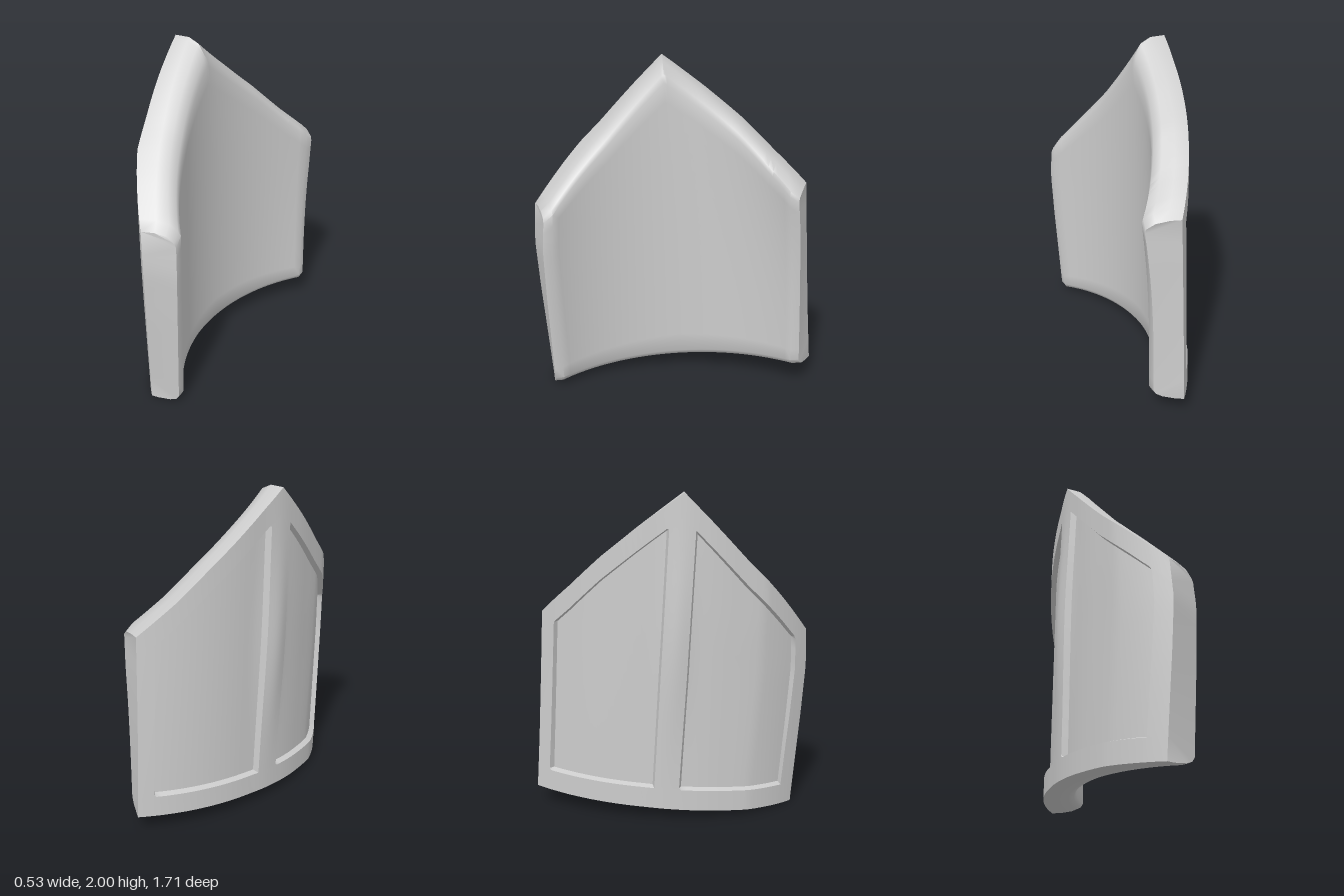
import * as THREE from 'three';
import { toCreasedNormals } from 'three/addons/utils/BufferGeometryUtils.js';

const CENTRE_X = 1.13;   // axis of the curved plate
const OUTER = 1.36, INNER = 1.16, RECESS = 0.035;
const { lerp, clamp, smoothstep } = THREE.MathUtils;

// piecewise linear lookup through [key, value] points
function along(points, k) {
  for (let i = 1; i < points.length; i++) {
    const [k0, v0] = points[i - 1], [k1, v1] = points[i];
    if (k <= k1) return lerp(v0, v1, clamp((k - k0) / (k1 - k0), 0, 1));
  }
  return points[points.length - 1][1];
}

// pointed top edge, slanting bottom edge, the two leaning side edges
// and the swelling of the outside towards the left
const TOP = [[-1, 1.26], [-0.76, 1.44], [-0.53, 1.63], [-0.31, 1.79], [0, 2], [0.46, 1.59], [0.73, 1.37], [1, 1.14]];
const LEFT_END = [[0, 0.615], [0.3, 0.64], [0.6, 0.665], [0.9, 0.685], [1.14, 0.675]];
const RIGHT_END = [[0.1, 0.674], [1.26, 0.63]];
const SWELL = [[-0.15, 0], [0.2, 0.022], [0.42, 0.03], [0.6, 0.045], [0.8, 0.022], [1, 0]];
const top = u => along(TOP, u);
const bottom = u => lerp(0.11, 0, (u + 1) / 2) + 0.012 * (1 - u * u);

// angle of the side edge; the inside of each end reaches a little further round
function endAngle(u, r, y) {
  const depth = clamp((OUTER - r) / (OUTER - INNER), 0, 1);
  const left = along(LEFT_END, y) + depth * lerp(0.08, 0.05, clamp(y / 1.14, 0, 1));
  const right = along(RIGHT_END, y) + depth * lerp(0.025, 0.06, clamp(y / 1.26, 0, 1));
  return lerp(right, left, clamp(u * 2 + 0.5, 0, 1));
}

// u runs from -1 (right end) to 1 (left end); the middle leans towards the peak
function place(u, r, y) {
  const leaning = u + lerp(-0.04, 0.09, y / 2) * (1 - u * u);
  const a = leaning * endAngle(leaning, r, y);
  return new THREE.Vector3(CENTRE_X - r * Math.cos(a), y, r * Math.sin(a));
}

// outer radius: swelling on the left, a central rib proud at mid height, leaning ends
function outerRadius(u, y) {
  const swell = along(SWELL, u) * lerp(0.6, 1, clamp(y / 1.2, 0, 1));
  const rib = 0.03 * Math.exp(-((u / 0.1) ** 2)) * Math.exp(-(((y - 1.1) / 0.55) ** 2));
  const low = 1 - clamp(y / 1.1, 0, 1);
  const ends = u > 0 ? -0.025 * u ** 4 * low : lerp(0.018, -0.034, y / 1.26) * u * u;
  return OUTER + swell + rib + ends;
}

// inner radius: the rims thicken towards the ends, most along the right top edge,
// and the corner to each end face is chamfered
function innerRadius(u, y) {
  const chamfer = 0.035 * smoothstep(Math.abs(u), 0.945, 1);
  if (u > 0) return INNER - 0.02 * u ** 4 + chamfer;
  return INNER - 0.07 * Math.abs(u) ** 1.5 * (y / top(u)) ** 3 + chamfer;
}

// closed cross-section: up the outside, over the rounded top, down the inside
function section(u, sunk) {
  const t = top(u), b = bottom(u), loop = [];
  const low = b + 0.13, high = t - 0.14, steps = 14;
  const round = lerp(0.1, 0.05, Math.abs(u));
  const outer = (y, d) => loop.push(place(u, outerRadius(u, y) - d, y));
  outer(b, 0);
  outer(low, 0);
  for (let i = 0; i <= steps; i++) {
    outer(lerp(low + 0.012, high - 0.012, i / steps), sunk ? RECESS : 0);
  }
  outer(high, 0);
  outer(t, 0);
  const rim = innerRadius(u, t);
  loop.push(place(u, lerp(rim, OUTER, 0.6), t));
  loop.push(place(u, lerp(rim, OUTER, 0.28), t - round * 0.3));
  loop.push(place(u, lerp(rim, OUTER, 0.07), t - round));
  for (let i = steps + 1; i >= 0; i--) {
    const y = lerp(b + 0.05, t - round * 1.5, i / (steps + 1));
    loop.push(place(u, innerRadius(u, y), y));
  }
  const foot = innerRadius(u, b);
  loop.push(place(u, foot + 0.015, b + 0.025));
  loop.push(place(u, foot + 0.05, b + 0.01));
  loop.push(place(u, foot + 0.12, b));
  return loop;
}

function plateGeometry() {
  // columns across the plate, with narrow gaps forming the walls of both panels
  const columns = [];
  const span = (from, to, n, sunk) => {
    for (let i = 0; i <= n; i++) columns.push([lerp(from, to, i / n), sunk]);
  };
  span(-1, -0.89, 2, false);
  span(-0.875, -0.1, 20, true);
  span(-0.085, 0.085, 8, false);
  span(0.1, 0.865, 20, true);
  span(0.88, 1, 2, false);
  const loops = columns.map(([u, sunk]) => section(u, sunk));
  const n = loops[0].length, last = loops.length - 1, index = [];
  const at = (i, j) => i * n + (j % n);
  for (let i = 0; i < last; i++) {
    for (let j = 0; j < n; j++) {
      index.push(at(i, j), at(i + 1, j), at(i, j + 1));
      index.push(at(i + 1, j), at(i + 1, j + 1), at(i, j + 1));
    }
  }
  // end faces, as ladders between outside and inside
  for (let j = 0; j < Math.floor(n / 2); j++) {
    const k = n - 1 - j;
    for (const i of [0, last]) {
      const [a, b, c, d] = [at(i, j), at(i, k), at(i, k - 1), at(i, j + 1)];
      if (i) index.push(a, b, c, a, c, d);
      else index.push(a, c, b, a, d, c);
    }
  }
  const geometry = new THREE.BufferGeometry().setFromPoints(loops.flat());
  geometry.setIndex(index);
  return toCreasedNormals(geometry, 0.75);
}

export function createModel() {
  const model = new THREE.Group();
  model.name = 'curvedArmourPlate';
  const material = new THREE.MeshStandardMaterial({ color: 0xcccccc });
  const plate = new THREE.Mesh(plateGeometry(), material);
  plate.name = 'plateWithRecessedPanels';
  model.add(plate);
  return model;
}
